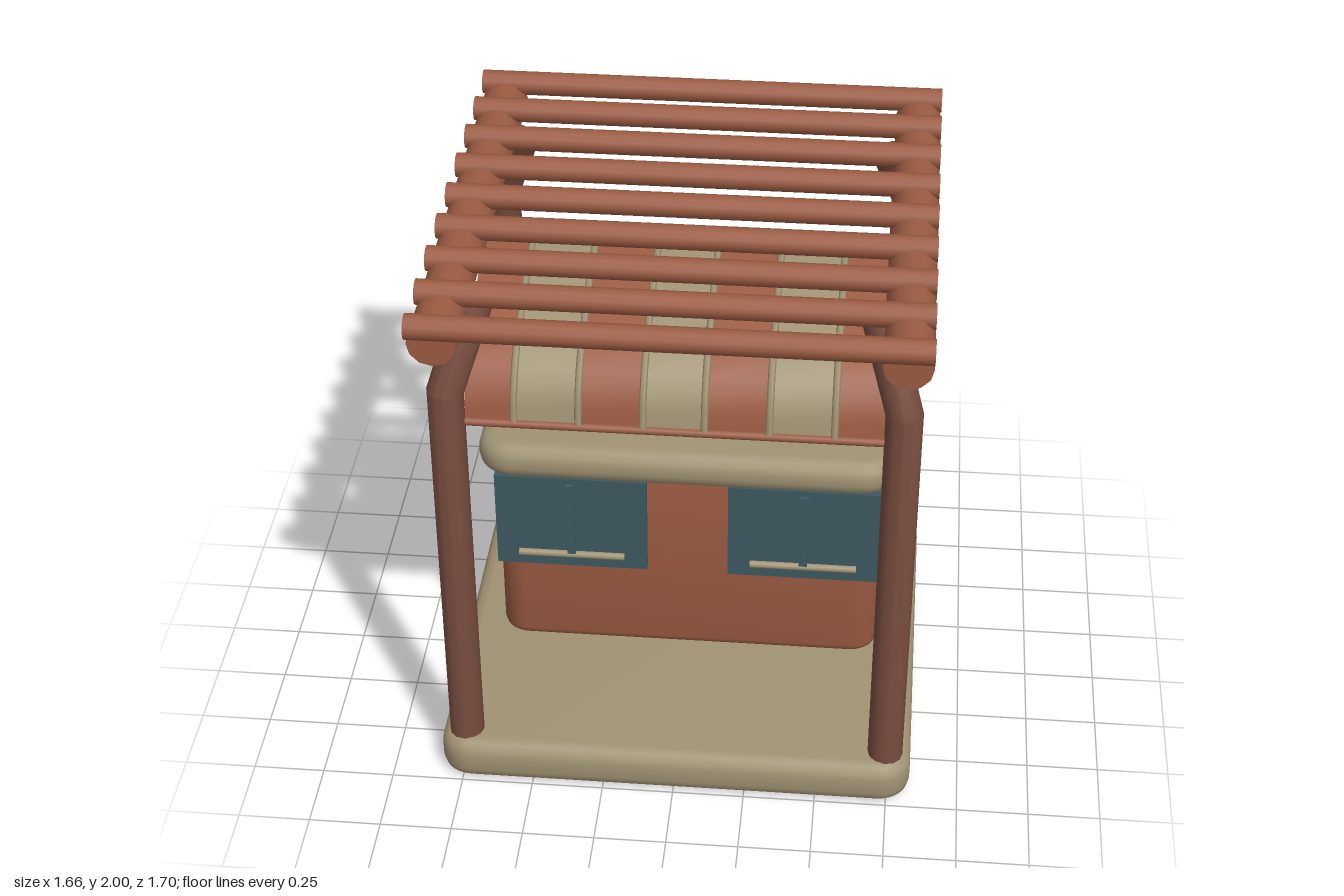
import * as THREE from 'three';
import { toCreasedNormals } from 'three/addons/utils/BufferGeometryUtils.js';

const material = (name, color, side = THREE.FrontSide) => {
  const m = new THREE.MeshStandardMaterial({ color, side });
  m.name = name;
  return m;
};

export function createModel() {
  const group = new THREE.Group();
  const wood = material('red brown wood', 0x9b5b42);
  const darkWood = material('dark brown wood', 0x774c3f);
  const tan = material('tan stone', 0xa09273);
  const teal = material('teal paint', 0x3c5a60);
  const redCloth = material('red brown cloth', 0x9b5b42, THREE.DoubleSide);
  const tanCloth = material('tan cloth', 0xa09273, THREE.DoubleSide);

  const add = (name, geometry, mat, x = 0, y = 0, z = 0) => {
    const mesh = new THREE.Mesh(geometry, mat);
    mesh.name = name;
    mesh.position.set(x, y, z);
    group.add(mesh);
    return mesh;
  };

  // Block with rounded plan corners and bevelled rims, given by its limits
  const slab = (name, mat, halfX, y0, y1, z0, z1, corner, bevel) => {
    const w = halfX - bevel, d = (z1 - z0) / 2 - bevel, r = corner;
    const s = new THREE.Shape();
    s.moveTo(-w + r, -d);
    s.lineTo(w - r, -d);
    s.absarc(w - r, -d + r, r, -Math.PI / 2, 0);
    s.absarc(w - r, d - r, r, 0, Math.PI / 2);
    s.absarc(-w + r, d - r, r, Math.PI / 2, Math.PI);
    s.absarc(-w + r, -d + r, r, Math.PI, Math.PI * 1.5);
    const g = new THREE.ExtrudeGeometry(s, {
      depth: y1 - y0 - 2 * bevel, bevelThickness: bevel, bevelSize: bevel,
      bevelSegments: 3, curveSegments: 4,
    });
    g.rotateX(-Math.PI / 2);
    return add(name, toCreasedNormals(g, 0.65), mat, 0, y0 + bevel, (z0 + z1) / 2);
  };

  // Floor and counter
  slab('floorSlab', tan, 0.83, 0, 0.16, -0.765, 0.75, 0.06, 0.05);
  slab('counterBody', wood, 0.688, 0.17, 0.99, -0.67, 0.14, 0.06, 0.035);
  slab('counterTop', tan, 0.73, 0.98, 1.11, -0.69, 0.275, 0.07, 0.05);

  // Cabinet doors with a centre strip and a handle bar
  for (const s of [-1, 1]) {
    const x = s * 0.415;
    add('cabinetDoor', new THREE.BoxGeometry(0.54, 0.385, 0.04), teal, x, 0.728, 0.15);
    add('doorStrip', new THREE.BoxGeometry(0.03, 0.3, 0.018), teal, x, 0.75, 0.177);
    const bar = add('doorHandle', new THREE.CylinderGeometry(0.014, 0.014, 0.38, 8), tan, x, 0.59, 0.173);
    bar.rotation.z = Math.PI / 2;
  }

  // Corner posts, bent inwards near the top
  const post = (sx, sz) => {
    const g = new THREE.CylinderGeometry(0.061, 0.061, 1, 12, 2);
    const p = g.attributes.position;
    for (let i = 0; i < p.count; i++) {
      const x = p.getX(i), y = p.getY(i), z = p.getZ(i);
      const outward = x * sx + z * sz;
      if (y > 0.1) {
        p.setXYZ(i, x + sx * 0.65, 1.89 + 0.25 * outward, z + sz * 0.53);
      } else {
        const h = y < -0.1 ? 0.14 : 1.61 + 0.12 * outward;
        p.setXYZ(i, x + sx * 0.74, h, z + sz * 0.647);
      }
    }
    add('cornerPost', toCreasedNormals(g, 0.6), darkWood);
  };
  for (const sx of [-1, 1]) for (const sz of [-1, 1]) post(sx, sz);

  // Side beams and the row of roof logs
  for (const s of [-1, 1]) {
    const beam = add('sideBeam', new THREE.CylinderGeometry(0.08, 0.08, 1.61, 12), wood, s * 0.743, 1.893, 0);
    beam.rotation.x = Math.PI / 2;
  }
  for (let i = 0; i < 9; i++) {
    const log = add('roofLog', new THREE.CylinderGeometry(0.042, 0.042, 1.645, 12), wood, 0, 1.958, (i - 4) * 0.2015);
    log.rotation.z = Math.PI / 2;
  }

  // Striped awning following one curved side profile
  const profile = new THREE.CatmullRomCurve3(
    [[1.5, 0.65], [1.6, 0.625], [1.7, 0.545], [1.77, 0.4], [1.83, 0.24], [1.87, 0.01]]
      .map(([y, z]) => new THREE.Vector3(0, y, z)));
  const edges = [-0.68, -0.52, -0.31, -0.1, 0.1, 0.31, 0.52, 0.68];
  for (let i = 0; i < edges.length - 1; i++) {
    const a = edges[i], b = edges[i + 1];
    const g = new THREE.PlaneGeometry(b - a, 1, 1, 12);
    const p = g.attributes.position;
    for (let j = 0; j < p.count; j++) {
      const q = profile.getPoint(Math.min(1, Math.max(0, p.getY(j) + 0.5)));
      p.setXYZ(j, p.getX(j) + (a + b) / 2, q.y, q.z);
    }
    g.computeVertexNormals();
    add('awningStripe', g, i % 2 ? tanCloth : redCloth);
  }
  for (const x of edges.slice(1, -1)) {
    add('awningRib', new THREE.TubeGeometry(profile, 12, 0.012, 6), tan, x, 0.006, 0.004);
  }
  const rod = add('awningRod', new THREE.CylinderGeometry(0.014, 0.014, 1.36, 8), wood, 0, 1.496, 0.65);
  rod.rotation.z = Math.PI / 2;

  return group;
}
